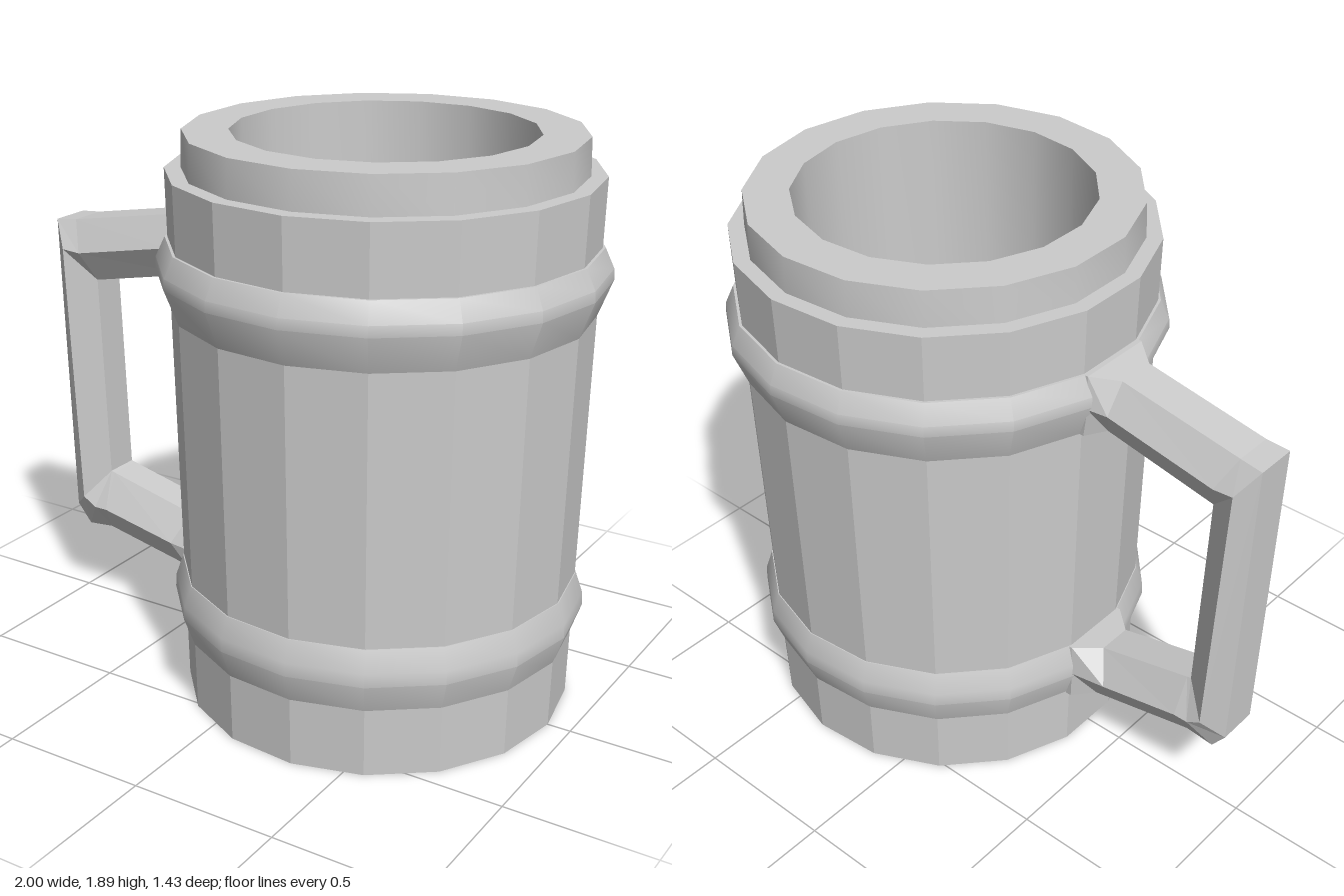
import * as THREE from 'three';
import { toCreasedNormals } from 'three/addons/utils/BufferGeometryUtils.js';

const SIDES = 17;
const CENTER_X = 0.275;

const flatGrey = new THREE.MeshStandardMaterial({ color: 0xcccccc, flatShading: true });
const smoothGrey = new THREE.MeshStandardMaterial({ color: 0xcccccc });

// Turned part with a corner facing +x; profile runs as [radius, y]
function turned(name, profile, flat) {
  const points = profile.map(([r, y]) => new THREE.Vector2(r, y));
  const geo = new THREE.LatheGeometry(points, SIDES, Math.PI / 2);
  const mesh = new THREE.Mesh(flat ? geo : toCreasedNormals(geo, 0.5), flat ? flatGrey : smoothGrey);
  mesh.name = name;
  mesh.position.x = CENTER_X;
  return mesh;
}

// Six-sided bar through rings of [outer, side, inner] points, mirrored in z
function hexBar(name, rings) {
  const loops = rings.map((half) => [
    ...half,
    ...half.slice().reverse().map(([x, y, z]) => [x, y, -z]),
  ]);
  const pos = [];
  for (let i = 0; i < loops.length - 1; i++) {
    for (let j = 0; j < 6; j++) {
      const k = (j + 1) % 6;
      const a = loops[i][j], b = loops[i][k], c = loops[i + 1][j], d = loops[i + 1][k];
      pos.push(...a, ...c, ...b, ...b, ...c, ...d);
    }
  }
  const geo = new THREE.BufferGeometry();
  geo.setAttribute('position', new THREE.Float32BufferAttribute(pos, 3));
  geo.computeVertexNormals();
  const mesh = new THREE.Mesh(geo, flatGrey);
  mesh.name = name;
  return mesh;
}

export function createModel() {
  const mug = new THREE.Group();
  mug.name = 'mug';

  // Faceted staves, widening slightly to the top
  mug.add(turned('staves', [[0, 0], [0.645, 0], [0.684, 1.77], [0.6, 1.77]], true));

  // Raised rim and hollow inside
  mug.add(turned('rimAndInside', [
    [0.632, 1.76], [0.628, 1.89], [0.482, 1.89], [0.472, 0.2], [0, 0.2],
  ], false));

  // Two bulging hoops
  mug.add(turned('lowerHoop', [
    [0.63, 0.225], [0.648, 0.225], [0.685, 0.33], [0.682, 0.375], [0.658, 0.445], [0.63, 0.445],
  ], false));
  mug.add(turned('upperHoop', [
    [0.65, 1.33], [0.674, 1.33], [0.72, 1.45], [0.718, 1.485], [0.688, 1.55], [0.65, 1.55],
  ], false));

  // Handle: from the upper hoop, round the grip, back to the lower hoop
  mug.add(hexBar('handle', [
    [[-0.36, 1.55, 0.13], [-0.36, 1.44, 0.14], [-0.36, 1.33, 0.13]],
    [[-0.41, 1.55, 0.13], [-0.42, 1.44, 0.14], [-0.4, 1.33, 0.13]],
    [[-0.49, 1.535, 0.065], [-0.48, 1.43, 0.12], [-0.44, 1.33, 0.06]],
    [[-0.92, 1.458, 0.065], [-0.87, 1.355, 0.12], [-0.84, 1.25, 0.06]],
    [[-1.0, 1.45, 0.07], [-0.94, 1.36, 0.12], [-0.84, 1.25, 0.06]],
    [[-0.97, 0.37, 0.07], [-0.9, 0.43, 0.12], [-0.815, 0.53, 0.06]],
    [[-0.92, 0.3, 0.065], [-0.85, 0.4, 0.12], [-0.815, 0.53, 0.06]],
    [[-0.82, 0.31, 0.065], [-0.8, 0.4, 0.12], [-0.8, 0.526, 0.06]],
    [[-0.44, 0.23, 0.065], [-0.51, 0.34, 0.12], [-0.46, 0.445, 0.06]],
    [[-0.38, 0.225, 0.13], [-0.39, 0.34, 0.14], [-0.38, 0.445, 0.13]],
    [[-0.33, 0.225, 0.13], [-0.33, 0.34, 0.14], [-0.33, 0.445, 0.13]],
  ]));

  return mug;
}
